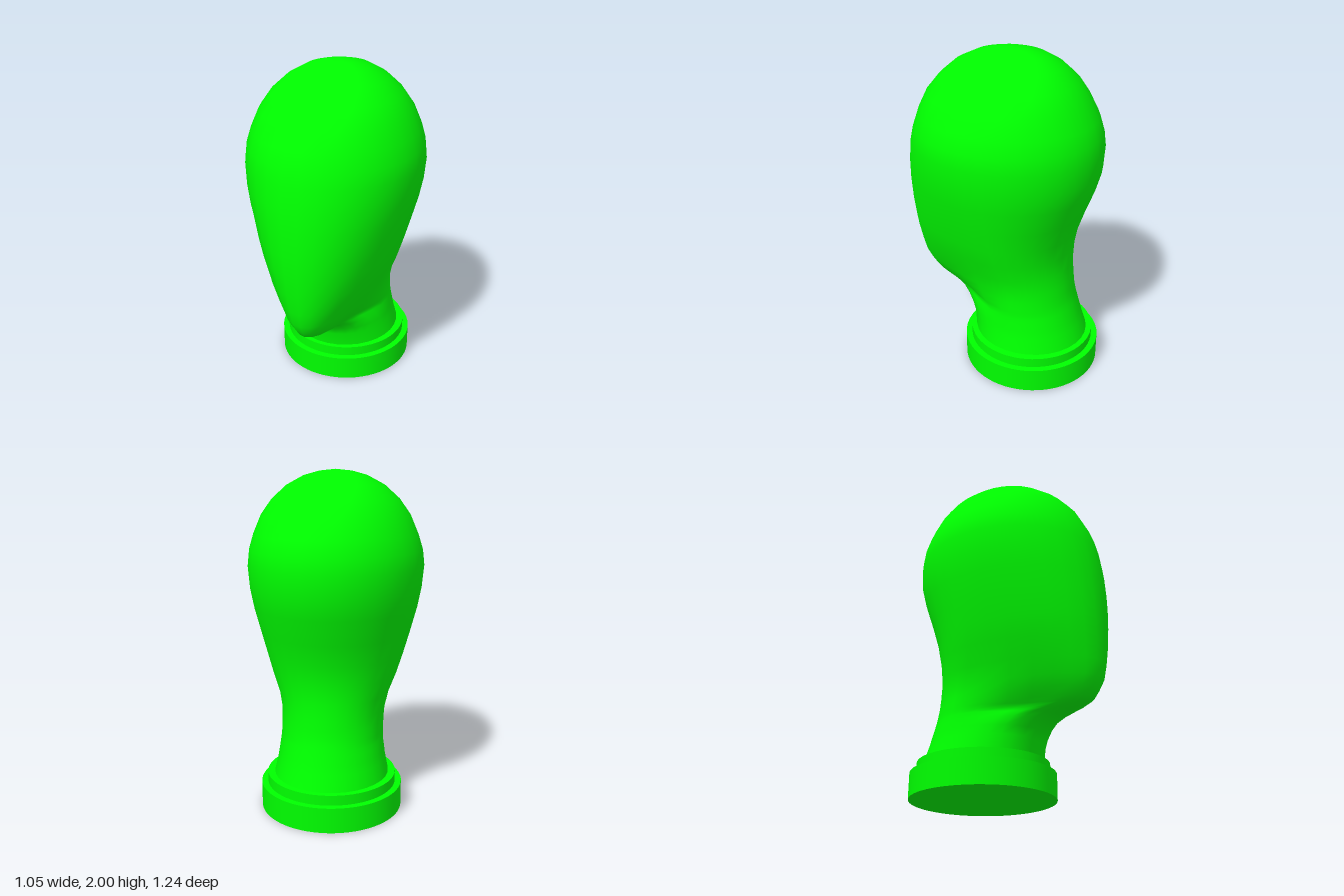
import * as THREE from 'three';

const green = new THREE.MeshStandardMaterial({ color: 0x00ff00 });

// Head sections: height, half width, back z, front z, z of widest point, narrowing of the front
const sections = [
  [0.20, 0.347, -0.55, 0.165, -0.19, 0],
  [0.30, 0.325, -0.515, 0.18, -0.18, 0],
  [0.35, 0.318, -0.50, 0.203, -0.17, 0.02],
  [0.40, 0.312, -0.485, 0.25, -0.16, 0.1],
  [0.43, 0.309, -0.477, 0.305, -0.15, 0.22],
  [0.45, 0.308, -0.471, 0.385, -0.147, 0.34],
  [0.47, 0.308, -0.466, 0.475, -0.143, 0.39],
  [0.495, 0.308, -0.46, 0.53, -0.14, 0.36],
  [0.54, 0.308, -0.452, 0.56, -0.13, 0.25],
  [0.60, 0.312, -0.445, 0.59, -0.115, 0.13],
  [0.69, 0.332, -0.433, 0.605, -0.09, 0.05],
  [0.80, 0.375, -0.433, 0.615, -0.065, 0.01],
  [0.92, 0.413, -0.453, 0.62, -0.045, 0],
  [1.05, 0.45, -0.495, 0.62, -0.03, 0],
  [1.20, 0.49, -0.55, 0.61, -0.02, 0],
  [1.32, 0.513, -0.583, 0.597, -0.015, 0],
  [1.45, 0.525, -0.59, 0.575, -0.01, 0],
  [1.54, 0.515, -0.577, 0.552, -0.01, 0],
  [1.63, 0.487, -0.548, 0.52, -0.015, 0],
  [1.74, 0.44, -0.487, 0.465, -0.02, 0],
  [1.83, 0.376, -0.425, 0.39, -0.02, 0],
  [1.91, 0.287, -0.335, 0.295, -0.025, 0],
  [1.965, 0.185, -0.235, 0.18, -0.03, 0],
  [1.99, 0.095, -0.13, 0.075, -0.03, 0],
];

// Lofts the sections into one smooth skin, closed by a single point on top
function loftHead(segments) {
  const positions = [], index = [];
  for (const [y, width, back, front, mid, narrow] of sections) {
    for (let i = 0; i < segments; i++) {
      const t = (i / segments) * Math.PI * 2;
      const c = Math.cos(t);
      const taper = 1 - narrow * THREE.MathUtils.smoothstep(c, 0, 0.7);
      positions.push(width * Math.sin(t) * taper, y, mid + c * (c > 0 ? front - mid : mid - back));
    }
  }
  const apex = positions.length / 3;
  positions.push(0, 2, -0.03);
  for (let r = 0; r < sections.length; r++) {
    for (let i = 0; i < segments; i++) {
      const a = r * segments + i, b = r * segments + (i + 1) % segments;
      if (r === sections.length - 1) index.push(a, b, apex);
      else index.push(a, b, b + segments, a, b + segments, a + segments);
    }
  }
  const geometry = new THREE.BufferGeometry();
  geometry.setAttribute('position', new THREE.Float32BufferAttribute(positions, 3));
  geometry.setIndex(index);
  geometry.computeVertexNormals();
  return geometry;
}

export function createModel() {
  const group = new THREE.Group();
  group.name = 'mannequinHead';
  const add = (name, geometry, y = 0, z = 0) => {
    const mesh = new THREE.Mesh(geometry, green);
    mesh.name = name;
    mesh.position.set(0, y, z);
    group.add(mesh);
  };

  // Head and neck
  add('headAndNeck', loftHead(32));

  // Stepped round stand, set back under the neck
  add('standBase', new THREE.CylinderGeometry(0.425, 0.425, 0.15, 64), 0.075, -0.193);
  add('standCollar', new THREE.CylinderGeometry(0.387, 0.387, 0.07, 64), 0.175, -0.193);

  return group;
}
